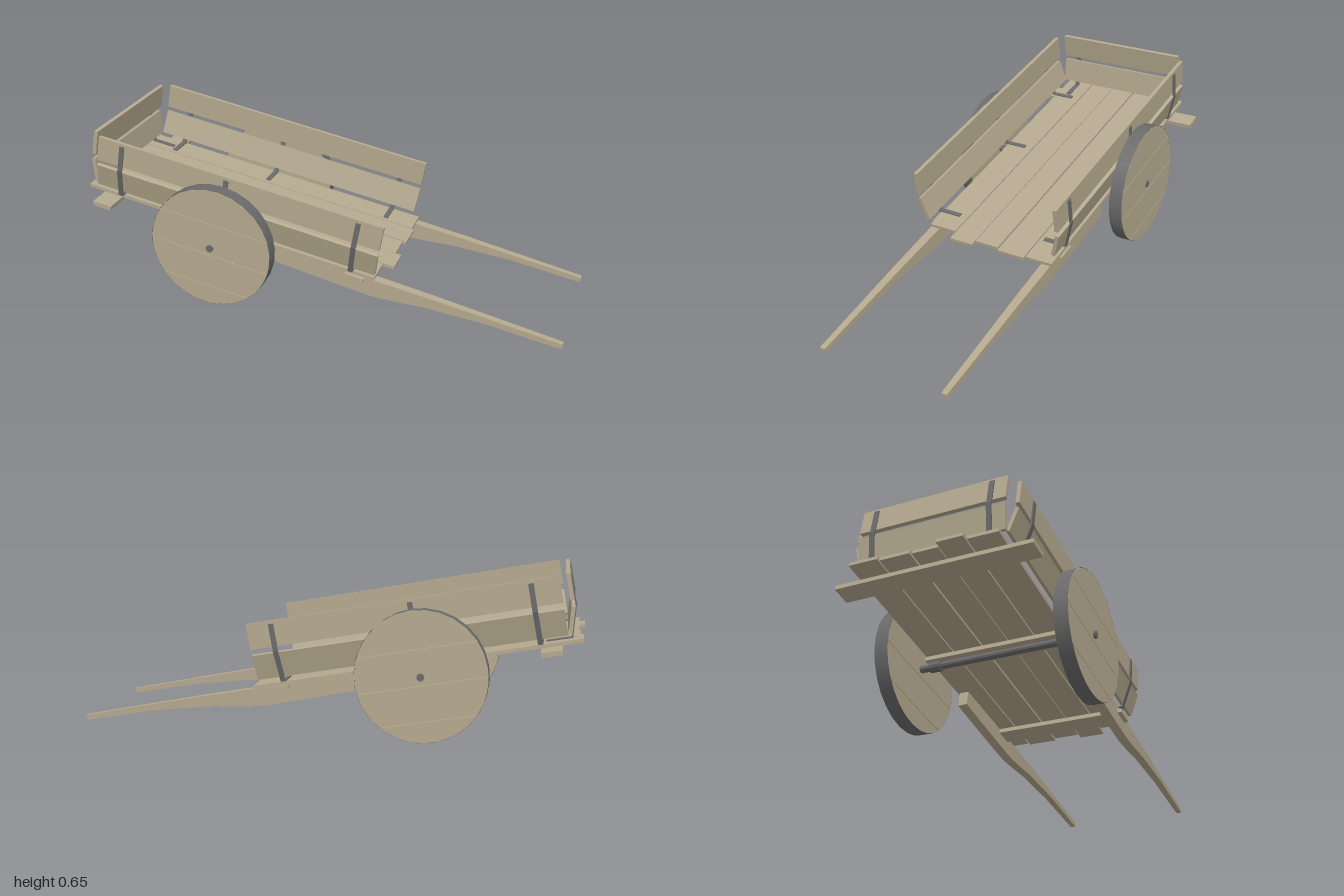
import * as THREE from 'three';

const wood = new THREE.MeshStandardMaterial({ color: 0xb5a98f, flatShading: true });
const iron = new THREE.MeshStandardMaterial({ color: 0x6b6b6b, flatShading: true });
const ironSmooth = new THREE.MeshStandardMaterial({ color: 0x6b6b6b, side: THREE.DoubleSide });

function add(parent, name, geometry, material, x = 0, y = 0, z = 0) {
  const mesh = new THREE.Mesh(geometry, material);
  mesh.name = name;
  mesh.position.set(x, y, z);
  parent.add(mesh);
  return mesh;
}

const box = (parent, name, size, material, pos) =>
  add(parent, name, new THREE.BoxGeometry(...size), material, ...pos);

// Two-board wall facing +z: a flared lower board, an upright upper board, and iron straps
function wall(name, length, strapsAt) {
  const g = new THREE.Group();
  g.name = name;
  const lean = 0.26;
  box(g, 'lowerBoard', [length, 0.104, 0.015], wood, [0, 0.073, 0.021]).rotation.x = lean;
  box(g, 'upperBoard', [length, 0.102, 0.016], wood, [0, 0.197, 0.033]);
  for (const x of strapsAt) {
    box(g, 'strapFoot', [0.02, 0.004, 0.1], iron, [x, 0.002, -0.035]);
    box(g, 'strapLower', [0.02, 0.134, 0.005], iron, [x, 0.066, 0.0295]).rotation.x = lean;
    box(g, 'strapUpper', [0.02, 0.105, 0.005], iron, [x, 0.183, 0.0435]);
  }
  return g;
}

// Solid wheel: disc sawn into planks with thin gaps, bound by an iron tyre
function wheel(name, z) {
  const g = new THREE.Group();
  g.name = name;
  const r = 0.252, width = 0.057, gap = 0.0012;
  const cuts = [-1, -0.68, -0.13, 0.42, 1].map(c => c * r);
  for (let i = 0; i < 4; i++) {
    const a0 = Math.asin(Math.max(-1, (cuts[i] + gap) / r));
    const a1 = Math.asin(Math.min(1, (cuts[i + 1] - gap) / r));
    const pts = [];
    for (let k = 0; k <= 8; k++) {
      const a = a0 + (a1 - a0) * k / 8;
      pts.push(new THREE.Vector2(r * Math.cos(a), r * Math.sin(a)));
    }
    for (let k = 8; k >= 0; k--) pts.push(new THREE.Vector2(-pts[k].x, pts[k].y));
    const geo = new THREE.ExtrudeGeometry(new THREE.Shape(pts), { depth: width, bevelEnabled: false });
    add(g, 'wheelPlank', geo.translate(0, 0, -width / 2), wood);
  }
  const tyre = new THREE.CylinderGeometry(0.254, 0.254, width, 28, 1, true).rotateX(Math.PI / 2);
  add(g, 'tyre', tyre, ironSmooth);
  g.position.set(-0.395, 0.257, z);
  g.rotation.z = -0.18;
  return g;
}

// Pulling shaft: side outline extruded, narrowing sideways towards the grip
function shaft(parent, name, z) {
  const outline = [
    [-0.16, -0.074], [0.1, -0.083], [0.27, -0.086], [0.36, -0.076], [0.47, -0.06], [0.72, -0.044],
    [1.02, -0.045], [1.02, -0.024], [0.51, -0.014], [0.3, -0.013], [-0.16, -0.013],
  ].map(p => new THREE.Vector2(...p));
  const geo = new THREE.ExtrudeGeometry(new THREE.Shape(outline), { depth: 0.04, bevelEnabled: false });
  geo.translate(0, 0, -0.02);
  const pos = geo.attributes.position;
  for (let i = 0; i < pos.count; i++) {
    const t = THREE.MathUtils.clamp((pos.getX(i) - 0.27) / 0.75, 0, 1);
    pos.setZ(i, pos.getZ(i) * (1 - 0.42 * t));
  }
  geo.computeVertexNormals();
  add(parent, name, geo, wood, 0, 0, z);
}

export function createModel() {
  const model = new THREE.Group();
  model.name = 'handcart';

  // Everything but wheels and axle sits in the tilted body
  const body = new THREE.Group();
  body.name = 'body';
  body.position.set(0, 0.228, 0);
  body.rotation.z = -0.18;
  model.add(body);

  // Floor planks: [start, end, right edge, left edge]
  const planks = [
    [-1.005, 0.285, -0.3, -0.184], [-0.995, 0.295, -0.179, -0.06], [-0.99, 0.28, -0.053, 0.051],
    [-1.015, 0.305, 0.054, 0.158], [-0.995, 0.258, 0.163, 0.283],
  ];
  for (const [u0, u1, z0, z1] of planks) {
    box(body, 'floorPlank', [u1 - u0, 0.014, z1 - z0], wood, [(u0 + u1) / 2, -0.007, (z0 + z1) / 2]);
  }

  // Cross battens under the floor
  box(body, 'rearBatten', [0.08, 0.018, 0.785], wood, [-0.885, -0.023, -0.012]);
  box(body, 'middleBatten', [0.08, 0.018, 0.6], wood, [-0.39, -0.023, -0.005]);
  box(body, 'frontBatten', [0.08, 0.018, 0.61], wood, [0.18, -0.023, -0.005]);

  // Walls
  const left = wall('leftWall', 1.21, [-0.5, -0.045, 0.505]);
  left.position.set(-0.345, 0, 0.283);
  const right = wall('rightWall', 1.21, [0.5, 0.045, -0.505]);
  right.position.set(-0.345, 0, -0.286);
  right.rotation.y = Math.PI;
  const tail = wall('tailWall', 0.582, [-0.234, 0.231]);
  tail.position.set(-0.95, 0, -0.001);
  tail.rotation.y = -Math.PI / 2;
  body.add(left, right, tail);

  // Shafts
  shaft(body, 'leftShaft', 0.263);
  shaft(body, 'rightShaft', -0.273);

  // Wheels, axle and its collars
  model.add(wheel('leftWheel', 0.363), wheel('rightWheel', -0.367));
  const rod = (r, len) => new THREE.CylinderGeometry(r, r, len, 12).rotateX(Math.PI / 2);
  add(model, 'axle', rod(0.015, 0.8), iron, -0.395, 0.257, 0);
  for (const z of [-0.27, 0.27]) add(model, 'axleCollar', rod(0.022, 0.05), iron, -0.395, 0.257, z);

  return model;
}
